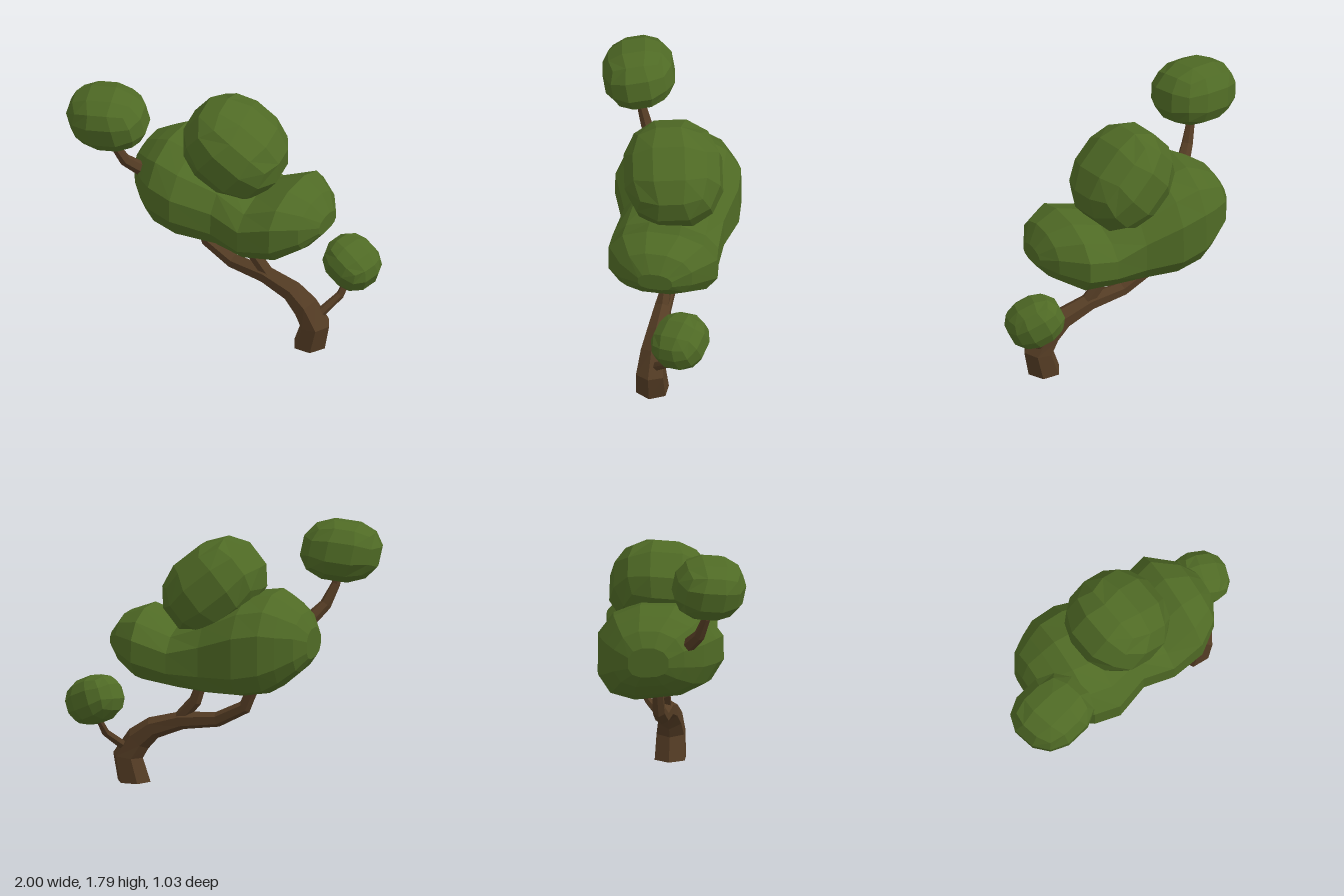
import * as THREE from 'three';

const leaf = new THREE.MeshStandardMaterial({ color: 0x4f6a25 });
leaf.name = 'leaf green';
const bark = new THREE.MeshStandardMaterial({ color: 0x543c24 });
bark.name = 'bark brown';

const V = (x, y, z) => new THREE.Vector3(x, y, z);

function facetedMesh(name, geometry, material) {
  const flat = geometry.toNonIndexed();
  flat.computeVertexNormals();
  const mesh = new THREE.Mesh(flat, material);
  mesh.name = name;
  return mesh;
}

// Skin a list of rings (equal point counts) and close both ends
function loft(rings) {
  const n = rings[0].length;
  const positions = rings.flat().flatMap((p) => [p.x, p.y, p.z]);
  const index = [];
  for (let i = 0; i < rings.length - 1; i++) {
    for (let j = 0; j < n; j++) {
      const a = i * n + j, b = i * n + (j + 1) % n;
      index.push(a, b, b + n, a, b + n, a + n);
    }
  }
  const last = (rings.length - 1) * n;
  for (let j = 1; j < n - 1; j++) {
    index.push(0, j + 1, j, last, last + j, last + j + 1);
  }
  const geometry = new THREE.BufferGeometry();
  geometry.setAttribute('position', new THREE.Float32BufferAttribute(positions, 3));
  geometry.setIndex(index);
  return geometry;
}

// Tapered six-sided limb through [x, y, z, radius] points
function limb(name, path, startDirection) {
  const points = path.map(([x, y, z]) => V(x, y, z));
  const rings = path.map(([, , , r], i) => {
    const t = points[Math.min(i + 1, path.length - 1)].clone()
      .sub(points[Math.max(i - 1, 0)]).normalize();
    if (i === 0 && startDirection) t.copy(startDirection);
    const side = t.clone().cross(V(0, 0, 1)).normalize();
    const front = t.clone().cross(side);
    return Array.from({ length: 6 }, (_, j) => {
      const a = (j * Math.PI) / 3;
      return points[i].clone()
        .addScaledVector(side, r * Math.cos(a))
        .addScaledVector(front, r * Math.sin(a));
    });
  });
  return facetedMesh(name, loft(rings), bark);
}

// Leaf ball: a cube rounded out, turned, and sized to min..max
function leafBall(name, min, max, stretch, turn) {
  const geometry = new THREE.BoxGeometry(2, 2, 2, 3, 3, 3);
  const pos = geometry.attributes.position;
  const power = 2.2;
  for (let i = 0; i < pos.count; i++) {
    const p = V(0, 0, 0).fromBufferAttribute(pos, i);
    const sum = p.toArray().reduce((s, v) => s + Math.abs(v) ** power, 0);
    p.multiplyScalar(sum ** (-1 / power)).multiply(stretch).applyEuler(turn);
    pos.setXYZ(i, p.x, p.y, p.z);
  }
  geometry.center();
  geometry.computeBoundingBox();
  const scale = max.clone().sub(min).divide(geometry.boundingBox.getSize(V(0, 0, 0)));
  const middle = min.clone().add(max).multiplyScalar(0.5);
  geometry.scale(scale.x, scale.y, scale.z);
  geometry.translate(middle.x, middle.y, middle.z);
  return facetedMesh(name, geometry, leaf);
}

// Two-lobed main crown, round above and boxy below:
// x, bottom, top, back, front, backward sag of the underside
function mainCrown() {
  const sections = [
    [-0.67, 0.94, 1.14, -0.27, 0, 0.05],
    [-0.61, 0.86, 1.24, -0.37, 0.1, 0.08],
    [-0.5, 0.77, 1.31, -0.44, 0.22, 0.1],
    [-0.4, 0.72, 1.36, -0.49, 0.3, 0.13],
    [-0.22, 0.69, 1.33, -0.51, 0.33, 0.13],
    [0.03, 0.68, 1.2, -0.46, 0.22, 0.06],
    [0.25, 0.69, 1.11, -0.47, 0.25, -0.02],
    [0.48, 0.73, 1.21, -0.51, 0.23, -0.04],
    [0.64, 0.83, 1.15, -0.37, 0.12, -0.02],
    [0.72, 0.92, 1.04, -0.25, -0.02, 0],
  ];
  const sides = 12;
  const bend = (v, power) => Math.sign(v) * Math.abs(v) ** power;
  const rings = sections.map(([x, y0, y1, z0, z1, sag]) =>
    Array.from({ length: sides }, (_, j) => {
      const a = ((j + 0.5) / sides) * Math.PI * 2;
      const below = Math.cos(a) < 0;
      const power = below ? 0.72 : 0.92;
      const dz = ((z1 - z0) / 2) * bend(Math.sin(a), power) * 1.02;
      const dy = ((y1 - y0) / 2) * bend(Math.cos(a), power) * 1.02;
      return V(x, (y0 + y1) / 2 + dy + (below ? sag * dz : 0), (z0 + z1) / 2 + dz);
    }));
  return facetedMesh('mainCrown', loft(rings), leaf);
}

export function createModel() {
  const tree = new THREE.Group();
  tree.name = 'tree';
  tree.add(
    // Wood
    limb('trunk', [
      [0.607, 0, -0.095, 0.115], [0.65, 0.17, -0.095, 0.105],
      [0.575, 0.285, -0.095, 0.09], [0.47, 0.37, -0.1, 0.074],
      [0.27, 0.435, -0.1, 0.06], [0.02, 0.46, -0.1, 0.05],
      [-0.175, 0.56, -0.105, 0.046], [-0.235, 0.7, -0.11, 0.04],
      [-0.25, 0.78, -0.11, 0.036],
    ], V(0, 1, 0)),
    limb('middleBranch', [
      [0.31, 0.42, -0.1, 0.045], [0.175, 0.575, -0.1, 0.043],
      [0.135, 0.69, -0.1, 0.038], [0.12, 0.78, -0.1, 0.035],
    ]),
    limb('lowBranch', [
      [0.64, 0.21, -0.1, 0.035], [0.75, 0.345, -0.25, 0.027],
      [0.772, 0.43, -0.3, 0.023], [0.78, 0.52, -0.32, 0.02],
    ]),
    limb('highBranch', [
      [-0.53, 1.11, 0.1, 0.05], [-0.63, 1.225, 0.2, 0.04],
      [-0.685, 1.36, 0.25, 0.03], [-0.7, 1.47, 0.26, 0.025],
    ]),
    // Foliage
    mainCrown(),
    leafBall('topCrown', V(-0.31, 1.03, -0.455), V(0.375, 1.7, 0.22),
      V(1.2, 0.95, 1.05), new THREE.Euler(0.1, 0.15, -0.7)),
    leafBall('highLeafBall', V(-1, 1.37, 0.02), V(-0.43, 1.795, 0.52),
      V(1, 1, 1), new THREE.Euler(0.15, 0.25, 0.12)),
    leafBall('lowLeafBall', V(0.6, 0.41, -0.515), V(1, 0.752, -0.13),
      V(1.15, 0.95, 1), new THREE.Euler(0.15, -0.3, -0.4)),
  );
  return tree;
}
